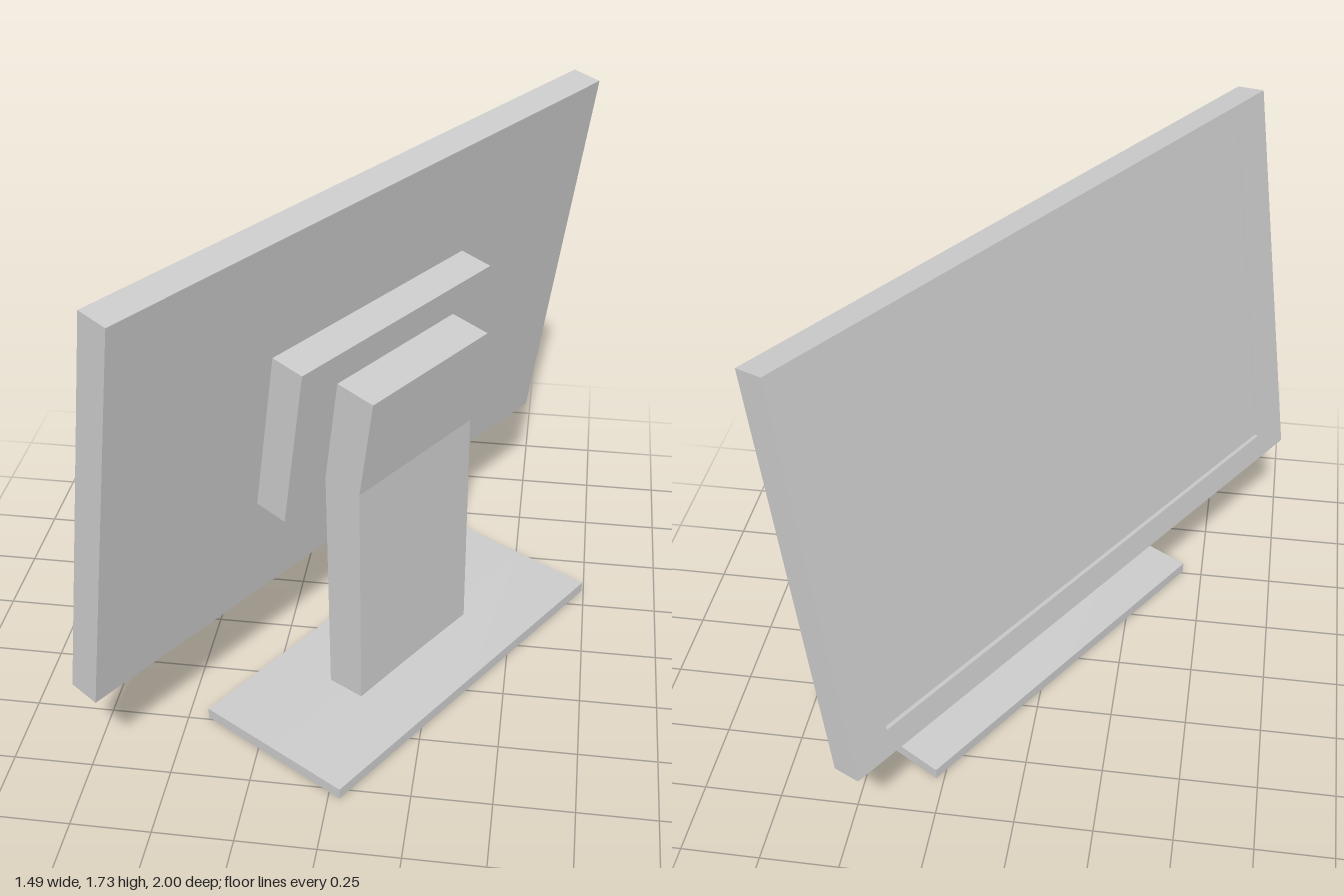
import * as THREE from 'three';

const mat = new THREE.MeshStandardMaterial({ color: 0xcccccc, flatShading: true });

function add(parent, name, geometry, x = 0, y = 0, z = 0) {
  const mesh = new THREE.Mesh(geometry, mat);
  mesh.name = name;
  mesh.position.set(x, y, z);
  parent.add(mesh);
  return mesh;
}

function rect(target, w, h) {
  target.moveTo(-w / 2, -h / 2);
  target.lineTo(w / 2, -h / 2);
  target.lineTo(w / 2, h / 2);
  target.lineTo(-w / 2, h / 2);
  target.closePath();
  return target;
}

export function createModel() {
  const model = new THREE.Group();
  model.name = 'monitor';

  // everything is built facing +z, then turned to its final heading
  const body = new THREE.Group();
  body.name = 'monitorBody';
  body.rotation.y = -2.135;
  model.add(body);

  // base plate, its top and underside swelling slightly at the middle
  const plate = new THREE.BoxGeometry(1.32, 0.037, 0.556, 2, 1, 2);
  const p = plate.attributes.position;
  for (let i = 0; i < p.count; i++) {
    if (Math.abs(p.getX(i)) < 0.01 && Math.abs(p.getZ(i)) < 0.01) {
      p.setY(i, p.getY(i) + Math.sign(p.getY(i)) * 0.009);
    }
  }
  add(body, 'base', plate, -0.006, 0.0285, -0.18);

  // neck: side profile (z, y) with a bend, extruded across the width
  const neckWidth = 0.55;
  const profile = new THREE.Shape([
    [-0.244, 0.035], [-0.114, 0.035], [-0.103, 0.85],
    [-0.154, 1.2], [-0.289, 1.18], [-0.237, 0.843],
  ].map(([z, y]) => new THREE.Vector2(z, y)));
  const neck = new THREE.ExtrudeGeometry(profile, { depth: neckWidth, bevelEnabled: false });
  neck.rotateY(-Math.PI / 2);
  neck.translate(neckWidth / 2, 0, 0);
  add(body, 'neck', neck, 0.023);

  // tilted head; its origin is the middle of the panel's rear face
  const head = new THREE.Group();
  head.name = 'head';
  head.position.set(0.02, 1.0525, -0.0135);
  head.rotation.x = -0.155;
  body.add(head);

  const W = 2.17, H = 1.341, T = 0.1, recess = 0.015;
  add(head, 'panel', new THREE.BoxGeometry(W, H, T - recess), 0, 0, (T - recess) / 2);

  // bezel around the recessed screen
  const frame = rect(new THREE.Shape(), W, H);
  frame.holes.push(rect(new THREE.Path(), 1.89, 1.155));
  add(head, 'bezel', new THREE.ExtrudeGeometry(frame, { depth: recess, bevelEnabled: false }),
    0, 0, T - recess);

  // mounting block between neck and panel
  add(head, 'mount', new THREE.BoxGeometry(0.885, 0.546, 0.113), 0, 0, -0.0565);

  return model;
}
